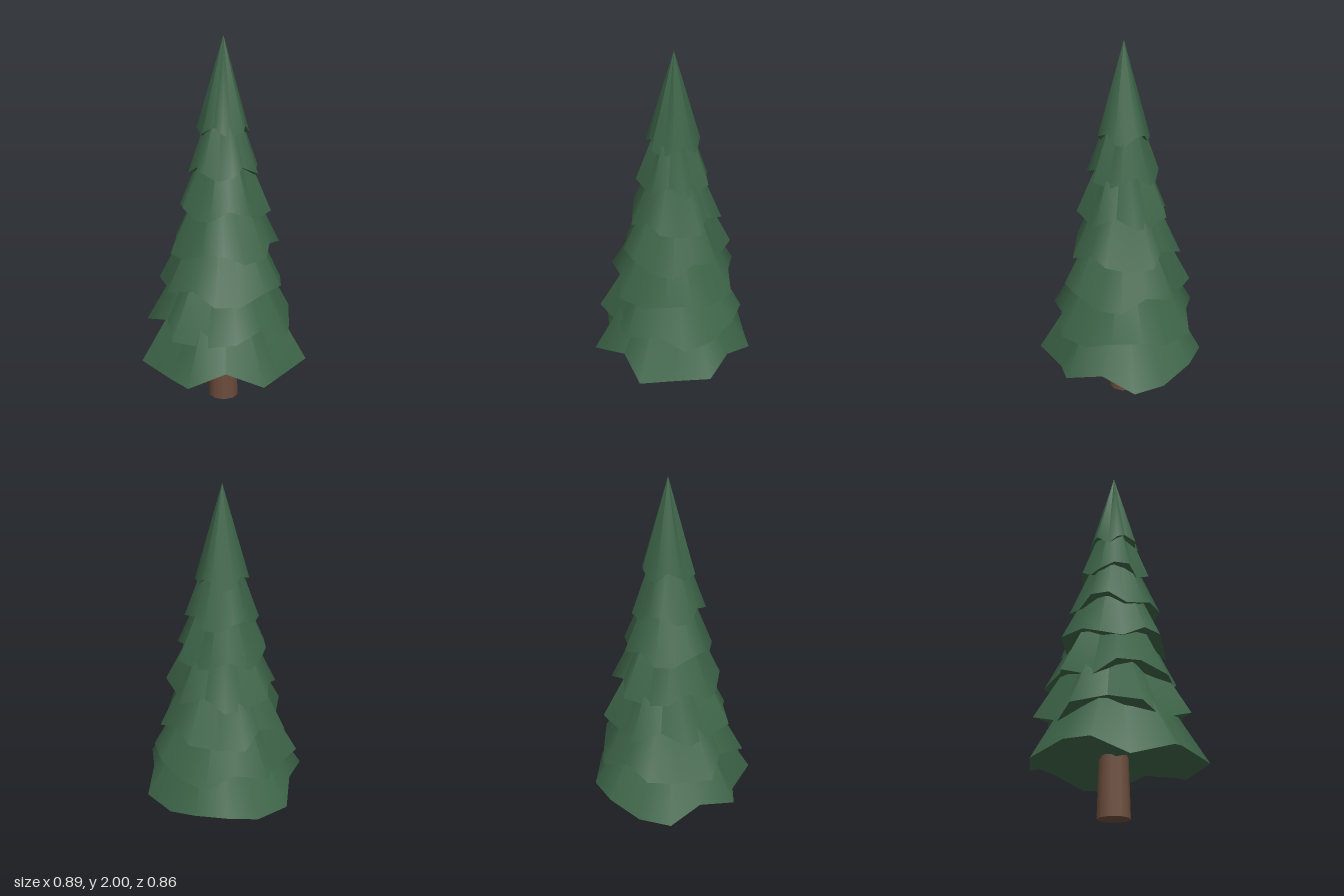
import * as THREE from 'three';

const SIDES = 15;
const TIERS = 7;
const TWIST = THREE.MathUtils.degToRad(-64.5);

// Cone whose rim swells in and out and waves up and down; y = 0 is the mean rim height
function branchTier(radius, height, wave) {
  const geo = new THREE.ConeGeometry(radius, height, SIDES);
  geo.translate(0, height / 2, 0);
  const p = geo.attributes.position;
  for (let i = 0; i < p.count; i++) {
    if (p.getY(i) > 0.001) continue; // tip stays put
    const x = p.getX(i), z = p.getZ(i);
    const a = Math.hypot(x, z) < 1e-6 ? 0 : Math.atan2(x, z);
    const swell = 1 - 0.115 * Math.cos(7 * a);
    p.setXYZ(i, x * swell, wave * Math.cos(4 * a), z * swell);
  }
  geo.computeVertexNormals();
  return geo;
}

export function createModel() {
  const tree = new THREE.Group();
  tree.name = 'pineTree';

  const needles = new THREE.MeshStandardMaterial({ color: 0x3d6448 });
  needles.name = 'needleGreen';
  const bark = new THREE.MeshStandardMaterial({ color: 0x6b4c3b });
  bark.name = 'barkBrown';

  // Trunk, slightly tapered
  const trunk = new THREE.Mesh(new THREE.CylinderGeometry(0.07, 0.084, 0.5, 10), bark);
  trunk.name = 'trunk';
  trunk.position.y = 0.25;
  tree.add(trunk);

  // Stacked tiers, each smaller and turned against the one below
  for (let i = 0; i < TIERS; i++) {
    const geo = branchTier(0.43 - 0.05 * i, 0.78 - 0.05 * i, 0.045 - 0.0025 * i);
    const tier = new THREE.Mesh(geo, needles);
    tier.name = `branchTier${i + 1}`;
    tier.position.y = 0.265 + 0.2092 * i;
    tier.rotation.y = TWIST * i;
    tree.add(tier);
  }

  tree.position.z = -0.01;
  const model = new THREE.Group();
  model.name = 'model';
  model.add(tree);
  return model;
}
